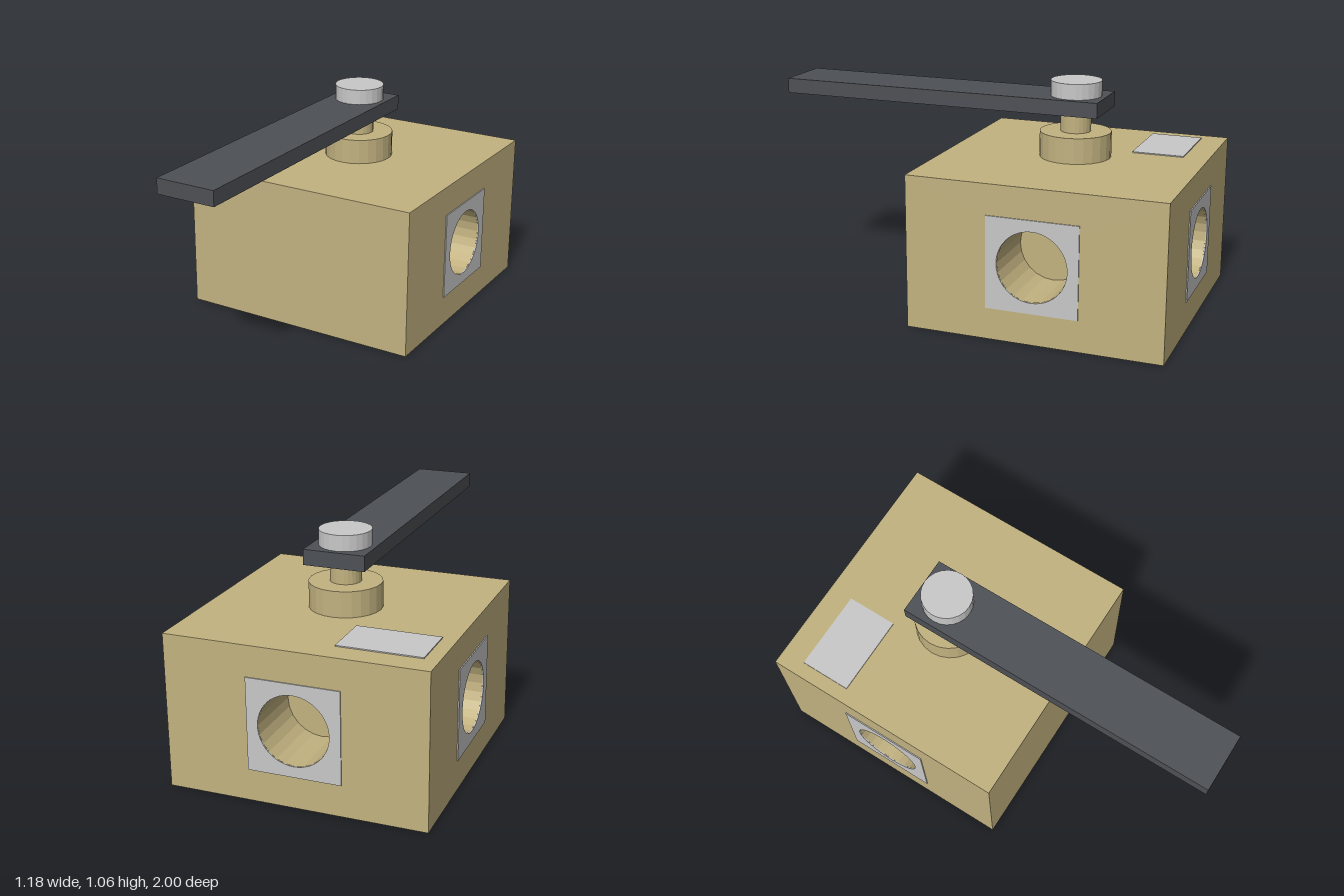
import * as THREE from 'three';

const SEG = 24;
const HALF = 0.586;      // half width of the square block
const HEIGHT = 0.705;
const PORT_Y = 0.355;
const PORT_R = 0.16;
const BORE_DEPTH = 0.3;
const PLATE = 0.21;      // half size of a port plate

function rectWithHole(x0, y0, x1, y1) {
  const s = new THREE.Shape([
    new THREE.Vector2(x0, y0), new THREE.Vector2(x1, y0),
    new THREE.Vector2(x1, y1), new THREE.Vector2(x0, y1),
  ]);
  const hole = new THREE.Path();
  hole.absarc(0, PORT_Y, PORT_R, 0, Math.PI * 2, true);
  s.holes.push(hole);
  return s;
}

export function createModel() {
  const brass = new THREE.MeshStandardMaterial({ color: 0xc2b280, flatShading: true, side: THREE.DoubleSide });
  brass.name = 'brass';
  const silver = new THREE.MeshStandardMaterial({ color: 0xc8c8c8, flatShading: true });
  silver.name = 'silver';
  const darkGrey = new THREE.MeshStandardMaterial({ color: 0x4d5055, flatShading: true });
  darkGrey.name = 'darkGrey';

  const model = new THREE.Group();
  model.name = 'valve';
  model.position.z = -0.409; // everything is centred on the stem axis

  const add = (parent, name, geometry, material, x = 0, y = 0, z = 0) => {
    const mesh = new THREE.Mesh(geometry, material);
    mesh.name = name;
    mesh.position.set(x, y, z);
    parent.add(mesh);
    return mesh;
  };

  // Closed faces of the block
  const body = new THREE.Group();
  body.name = 'body';
  model.add(body);
  const side = HALF * 2;
  add(body, 'frontFace', new THREE.PlaneGeometry(side, HEIGHT), brass, 0, HEIGHT / 2, HALF);
  add(body, 'topFace', new THREE.PlaneGeometry(side, side).rotateX(-Math.PI / 2), brass, 0, HEIGHT, 0);
  add(body, 'bottomFace', new THREE.PlaneGeometry(side, side).rotateX(Math.PI / 2), brass);

  // Three sides with a blind round port, framed by a thin plate
  const ports = { rightPort: Math.PI / 2, backPort: Math.PI, leftPort: -Math.PI / 2 };
  for (const [name, angle] of Object.entries(ports)) {
    const port = new THREE.Group();
    port.name = name;
    port.rotation.y = angle;
    body.add(port);
    add(port, 'sideFace', new THREE.ShapeGeometry(rectWithHole(-HALF, 0, HALF, HEIGHT), SEG), brass, 0, 0, HALF);
    add(port, 'bore', new THREE.CylinderGeometry(PORT_R, PORT_R, BORE_DEPTH, SEG, 1, true).rotateX(Math.PI / 2),
      brass, 0, PORT_Y, HALF - BORE_DEPTH / 2);
    add(port, 'boreEnd', new THREE.CircleGeometry(PORT_R, SEG), brass, 0, PORT_Y, HALF - BORE_DEPTH);
    add(port, 'portPlate', new THREE.ExtrudeGeometry(
      rectWithHole(-PLATE, PORT_Y - PLATE, PLATE, PORT_Y + PLATE),
      { depth: 0.005, bevelEnabled: false, curveSegments: SEG }), silver, 0, 0, HALF);
  }

  // Label plate on top
  add(model, 'labelPlate', new THREE.BoxGeometry(0.38, 0.005, 0.24), silver, -0.33, HEIGHT + 0.0025, -0.351);

  // Stem, lever and nut
  const disc = (name, r, y0, y1, material) =>
    add(model, name, new THREE.CylinderGeometry(r, r, y1 - y0, SEG), material, 0, (y0 + y1) / 2, 0);
  disc('collar', 0.164, HEIGHT, 0.823, brass);
  disc('stem', 0.07, 0.823, 0.917, brass);
  add(model, 'lever', new THREE.BoxGeometry(0.281, 0.07, 1.549), darkGrey, 0, 0.952, 0.6345);
  disc('nut', 0.117, 0.987, 1.058, silver);

  const root = new THREE.Group();
  root.name = 'leverValve';
  root.add(model);
  return root;
}
